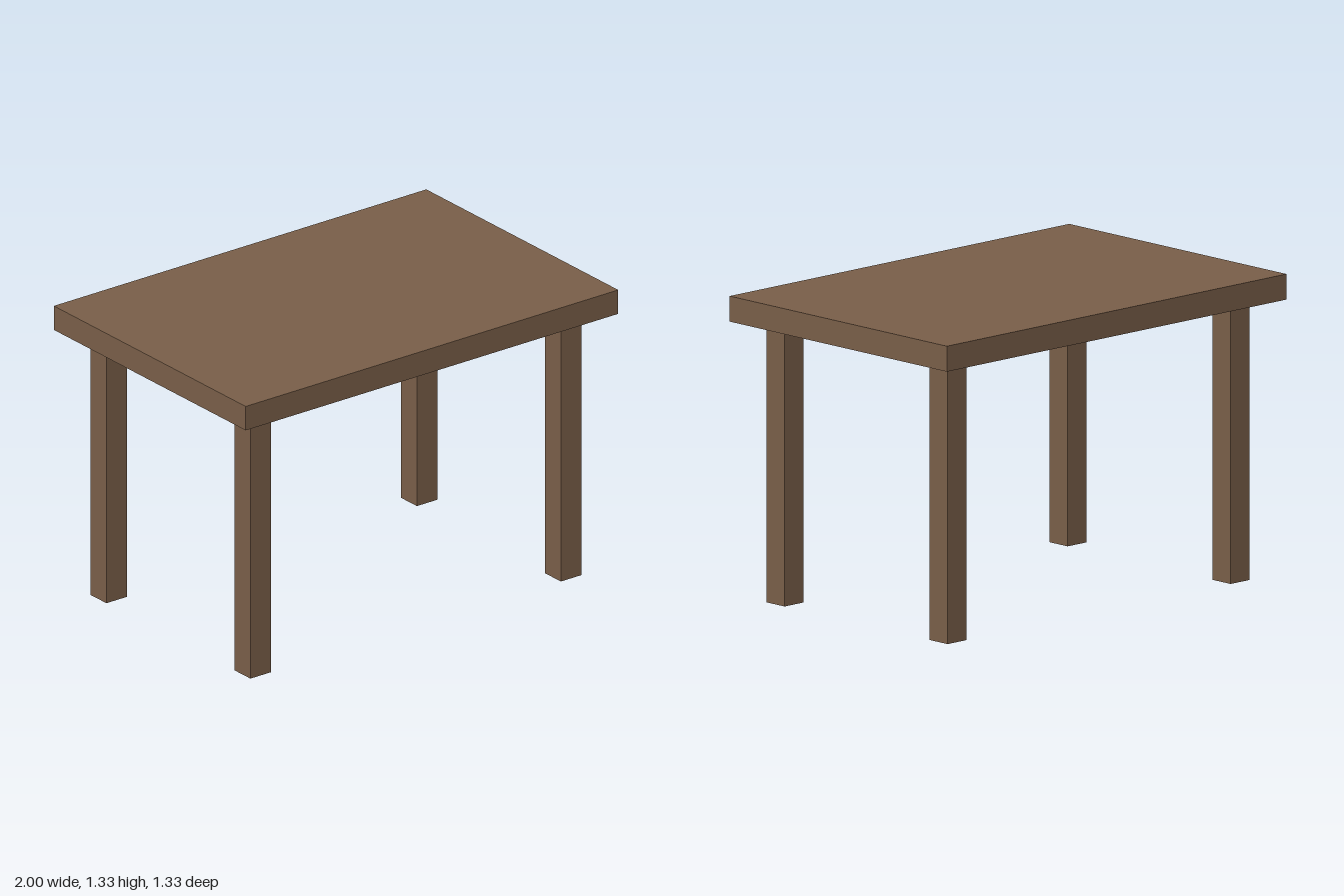
import * as THREE from 'three';

export function createModel() {
  const model = new THREE.Group();
  model.name = 'table';

  const wood = new THREE.MeshStandardMaterial({ color: 0x7a5f49 });
  wood.name = 'brown wood';

  const thickness = 1 / 9; // shared by the top and the legs
  const height = 4 / 3;
  const legHeight = height - thickness;

  // Table top
  const top = new THREE.Mesh(new THREE.BoxGeometry(2, thickness, 4 / 3), wood);
  top.name = 'tableTop';
  top.position.y = height - thickness / 2;
  model.add(top);

  // Four square legs, set in from the corners
  const legGeometry = new THREE.BoxGeometry(thickness, legHeight, thickness);
  for (const [front, z] of [['front', 0.5], ['back', -0.5]]) {
    for (const [side, x] of [['Left', 5 / 6], ['Right', -5 / 6]]) {
      const leg = new THREE.Mesh(legGeometry, wood);
      leg.name = `${front}${side}Leg`;
      leg.position.set(x, legHeight / 2, z);
      model.add(leg);
    }
  }

  return model;
}
